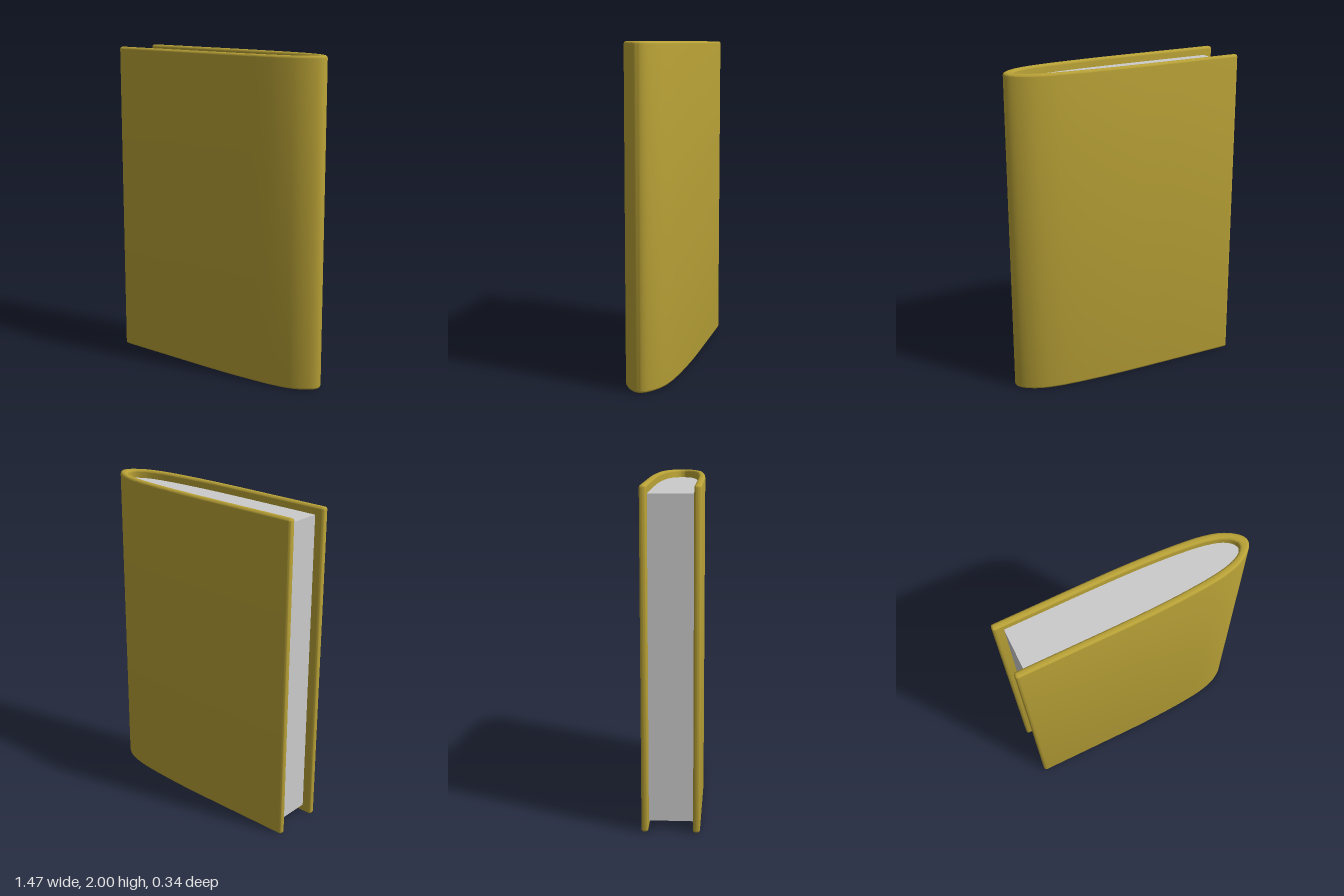
import * as THREE from 'three';
import { toCreasedNormals } from 'three/addons/utils/BufferGeometryUtils.js';

const HEIGHT = 2;
const FORE = -0.735; // fore edge of the cover boards
const BEVEL = 0.015;

// Half profiles (x, z) running from the boards to the middle of the spine
const OUTER = [[-0.25, 0.17], [0, 0.169], [0.2, 0.163], [0.4, 0.15], [0.52, 0.135], [0.62, 0.108], [0.69, 0.068], [0.725, 0.032], [0.735, 0]];
const INNER = [[-0.25, 0.13], [0, 0.128], [0.2, 0.122], [0.4, 0.108], [0.52, 0.092], [0.61, 0.067], [0.66, 0.034], [0.677, 0]];

// Smooth U-shaped line around the spine, from the +z side to the -z side
function wrap(half) {
  const mirrored = half.slice(0, -1).reverse().map(([x, z]) => [x, -z]);
  const points = [...half, ...mirrored].map(([x, z]) => new THREE.Vector3(x, z, 0));
  return new THREE.CatmullRomCurve3(points, false, 'centripetal')
    .getPoints(64).map(p => new THREE.Vector2(p.x, p.y));
}

// Extrudes a plan shape upwards from height y
function standing(shape, y, height, bevel) {
  const geometry = new THREE.ExtrudeGeometry(shape, {
    depth: height - 2 * bevel, curveSegments: 5,
    bevelEnabled: bevel > 0, bevelSize: bevel, bevelThickness: bevel, bevelOffset: -bevel, bevelSegments: 4,
  });
  geometry.rotateX(-Math.PI / 2).translate(0, y + bevel, 0);
  return toCreasedNormals(geometry, 0.7);
}

// Rounded end of one board, from corner a to corner b
function boardEnd(shape, za, zb) {
  const r = 0.018, s = Math.sign(zb - za);
  shape.lineTo(FORE + r, za);
  shape.quadraticCurveTo(FORE, za, FORE, za + s * r);
  shape.lineTo(FORE, zb - s * r);
  shape.quadraticCurveTo(FORE, zb, FORE + r, zb);
}

export function createModel() {
  const book = new THREE.Group();
  book.name = 'book';

  // Cover: two boards and the spine in one bent sheet
  const outer = wrap(OUTER), inner = wrap(INNER).reverse();
  const sheet = new THREE.Shape();
  sheet.moveTo(outer[0].x, outer[0].y);
  outer.slice(1).forEach(p => sheet.lineTo(p.x, p.y));
  boardEnd(sheet, -0.17, -0.13);
  inner.forEach(p => sheet.lineTo(p.x, p.y));
  boardEnd(sheet, 0.13, 0.17);
  const cover = new THREE.Mesh(
    standing(sheet, 0, HEIGHT, BEVEL),
    new THREE.MeshStandardMaterial({ color: 0xb8a136 }),
  );
  cover.name = 'cover';

  // Page block: fills the cover, set back at the top, bottom and fore edge
  const block = new THREE.Shape([
    new THREE.Vector2(-0.675, 0.131),
    ...wrap(INNER.map(([x, z]) => [x + 0.003, z * 1.02])),
    new THREE.Vector2(-0.675, -0.131),
  ]);
  const pages = new THREE.Mesh(
    standing(block, 0.05, HEIGHT - 0.1, 0),
    new THREE.MeshStandardMaterial({ color: 0xcccccc }),
  );
  pages.name = 'pages';

  book.add(cover, pages);
  return book;
}
